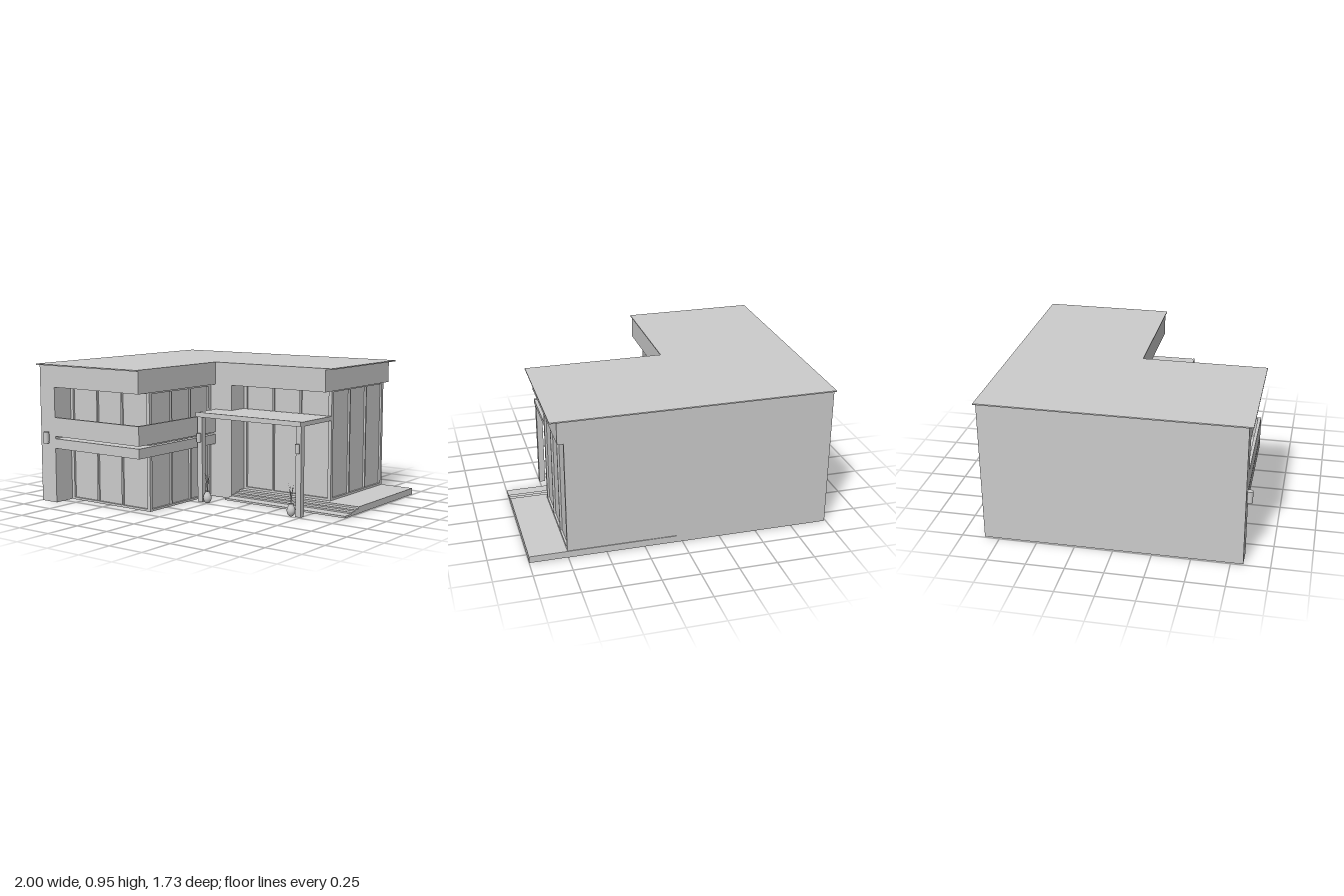
import * as THREE from 'three';

const mat = new THREE.MeshStandardMaterial({ color: 0xcccccc, side: THREE.DoubleSide });

function add(parent, name, geometry, x = 0, y = 0, z = 0) {
  const m = new THREE.Mesh(geometry, mat);
  m.name = name;
  m.position.set(x, y, z);
  parent.add(m);
  return m;
}

// Box given by its limits on each axis
function block(parent, name, x0, x1, y0, y1, z0, z1) {
  return add(parent, name, new THREE.BoxGeometry(x1 - x0, y1 - y0, z1 - z0),
    (x0 + x1) / 2, (y0 + y1) / 2, (z0 + z1) / 2);
}

// Hollow wall: a box without top and bottom
function hollowWall(parent, name, ...limits) {
  const m = block(parent, name, ...limits);
  const idx = Array.from(m.geometry.index.array);
  m.geometry.clearGroups();
  m.geometry.setIndex([...idx.slice(0, 12), ...idx.slice(24)]);
}

// Window facing +z: glass, outer frame and mullions; origin at the lower left front corner
function windowWall(name, w, h, panels) {
  const g = new THREE.Group();
  g.name = name;
  const f = 0.024, t = 0.015, d = 0.02;
  block(g, 'glass', 0, w, 0, h, -d, -d + 0.006);
  block(g, 'frameSide', 0, f, 0, h, -d, 0);
  block(g, 'frameSide', w - f, w, 0, h, -d, 0);
  block(g, 'frameBottom', f, w - f, 0, t, -d, 0);
  block(g, 'frameTop', f, w - f, h - t, h, -d, 0);
  for (let i = 1; i < panels; i++) {
    const x = f + (w - 2 * f) * i / panels;
    block(g, 'mullion', x - 0.006, x + 0.006, t, h - t, -d, 0);
  }
  return g;
}

function wallLamp(x, y, z, r, h) {
  const g = new THREE.Group();
  g.name = 'wallLamp';
  add(g, 'lampShade', new THREE.CylinderGeometry(r, r, h, 20), 0, 0, r);
  block(g, 'lampBracket', -r * 0.6, r * 0.6, -h * 0.3, h * 0.3, 0, r * 0.6);
  g.position.set(x, y, z);
  return g;
}

// Round vase with curved pointed leaves
function pottedPlant(x, z) {
  const g = new THREE.Group();
  g.name = 'pottedPlant';
  const profile = [[0, 0], [0.014, 0], [0.025, 0.016], [0.029, 0.036], [0.024, 0.058],
    [0.014, 0.072], [0.017, 0.082], [0.012, 0.082], [0.01, 0.07], [0, 0.07]];
  add(g, 'vase', new THREE.LatheGeometry(profile.map(p => new THREE.Vector2(...p)), 20));
  for (let i = 0; i < 9; i++) {
    const a = i * 2.4, h = 0.1 + 0.055 * ((i * 5 % 9) / 8), lean = 0.012 + 0.026 * ((i * 7 % 9) / 8);
    const leaf = new THREE.ConeGeometry(0.004, h, 5, 5, true).translate(0, h / 2, 0);
    const p = leaf.attributes.position;
    for (let k = 0; k < p.count; k++) {
      const t = p.getY(k) / h;
      p.setX(k, p.getX(k) + lean * t * t);
    }
    leaf.computeVertexNormals();
    add(g, 'leaf', leaf, 0, 0.072, 0).rotation.y = a;
  }
  g.position.set(x, 0, z);
  return g;
}

export function createModel() {
  const house = new THREE.Group();
  house.name = 'house';

  // L-shaped thin roof (shape y becomes -z)
  const roof = new THREE.Shape([[-1, 0.865], [0.84, 0.865], [0.84, -0.02], [-0.095, -0.02],
    [-0.095, -0.855], [-1, -0.855]].map(p => new THREE.Vector2(...p)));
  const roofGeo = new THREE.ExtrudeGeometry(roof, { depth: 0.008, bevelEnabled: false });
  add(house, 'roof', roofGeo.rotateX(-Math.PI / 2), 0, 0.945, 0);

  // Deep fascia below the roof
  block(house, 'mainFascia', -0.1, 0.795, 0.797, 0.945, -0.85, 0.014);
  block(house, 'wingFascia', -0.99, -0.1, 0.797, 0.945, -0.85, 0.829);

  // Solid walls
  hollowWall(house, 'leftWall', -0.99, -0.855, 0, 0.797, -0.85, 0.829);
  block(house, 'backWall', -0.855, 0.755, 0, 0.797, -0.85, -0.835);
  hollowWall(house, 'entranceWall', -0.14, 0.04, 0, 0.797, -0.135, 0.014);

  // Glazing of the wing and the main block
  const glazing = [
    ['wingFrontWindow', 0.715, 0.797, 3, -0.855, 0, 0.676, 0],
    ['wingSideWindow', 0.662, 0.797, 3, -0.14, 0, 0.676, Math.PI / 2],
    ['mainFrontWindow', 0.715, 0.749, 3, 0.04, 0.048, -0.135, 0],
    ['mainSideWindow', 0.715, 0.749, 3, 0.755, 0.048, -0.135, Math.PI / 2],
  ];
  for (const [name, w, h, n, x, y, z, turn] of glazing) {
    const win = windowWall(name, w, h, n);
    win.position.set(x, y, z);
    win.rotation.y = turn;
    house.add(win);
  }

  // Balcony: slab around the wing corner, gap, and parapet
  block(house, 'balconySlabFront', -0.855, -0.1, 0.377, 0.444, 0.676, 0.829);
  block(house, 'balconySlabSide', -0.14, -0.1, 0.377, 0.444, 0.014, 0.676);
  block(house, 'parapetFront', -0.855, -0.1, 0.46, 0.59, 0.809, 0.829);
  block(house, 'parapetSide', -0.12, -0.1, 0.46, 0.59, 0.014, 0.809);

  // Terrace with steps
  block(house, 'terrace', 0.04, 1, 0.004, 0.048, -0.855, -0.085);
  [[-0.085, -0.038, 0.036], [-0.038, 0.005, 0.027], [0.005, 0.092, 0.017]].forEach(([z0, z1, y]) =>
    block(house, 'step', 0.04, 1, 0.004, y, z0, z1));

  // Entrance canopy on two columns
  block(house, 'canopy', -0.095, 0.755, 0.592, 0.622, 0.014, 0.242);
  block(house, 'canopyBack', 0.04, 0.755, 0.592, 0.622, -0.135, 0.014);
  block(house, 'canopyLip', -0.095, 0.755, 0.6, 0.626, 0.238, 0.248);
  for (const x of [-0.069, 0.731]) {
    block(house, 'column', x - 0.02, x + 0.02, 0, 0.592, 0.192, 0.232);
    house.add(wallLamp(x, 0.45, 0.23, 0.015, 0.06));
  }
  house.add(wallLamp(-0.925, 0.448, 0.827, 0.019, 0.078));

  for (const x of [-0.013, 0.672]) house.add(pottedPlant(x, 0.222));

  return house;
}
